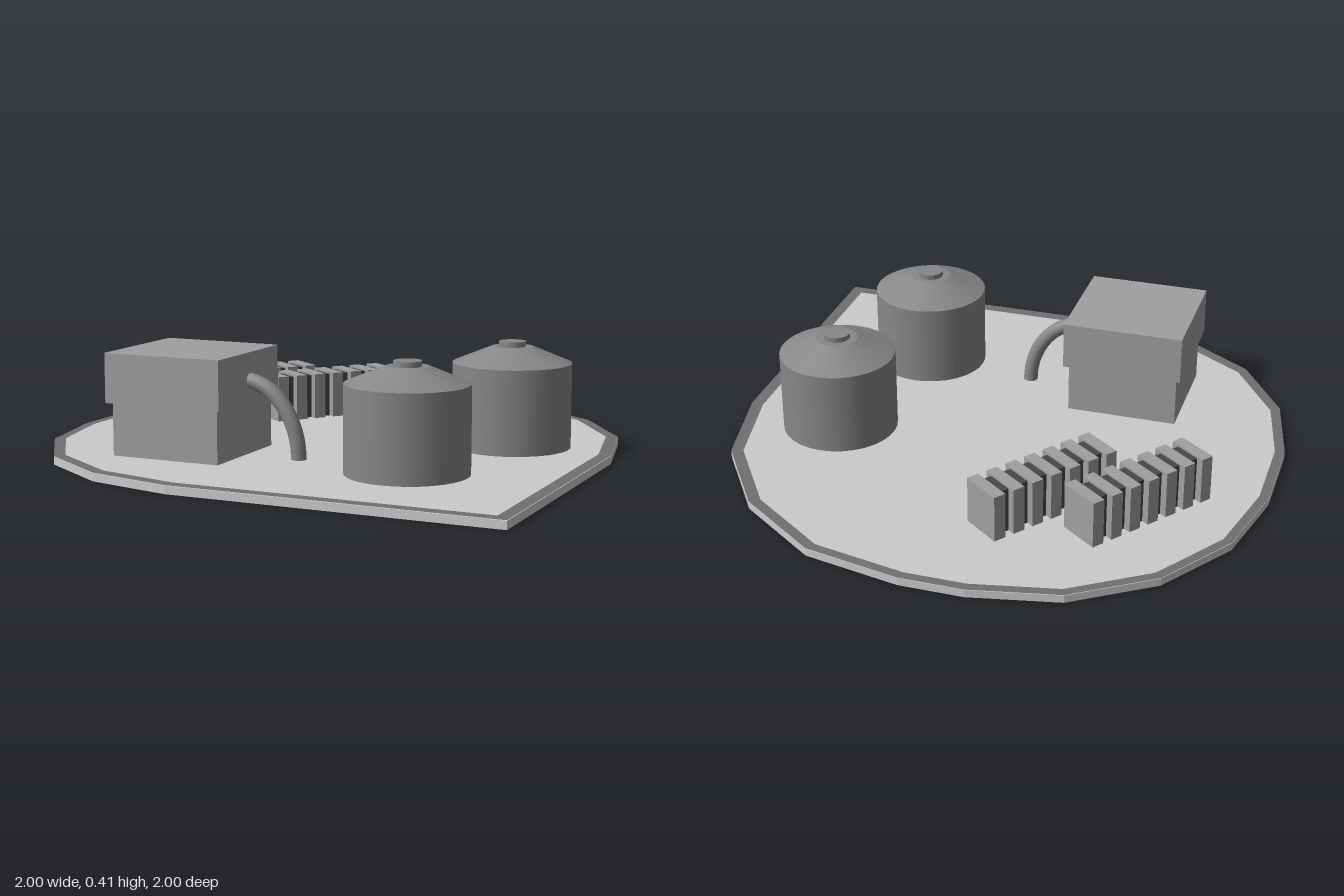
import * as THREE from 'three';

const paint = (color, flatShading = true) =>
  new THREE.MeshStandardMaterial({ color, flatShading });

export function createModel() {
  const model = new THREE.Group();
  const light = paint(0xcccccc);
  const boxGrey = paint(0xa0a0a0);
  const dark = paint(0x707070);
  const core = paint(0x484848);
  const tankGrey = paint(0x888888, false);
  tankGrey.side = THREE.DoubleSide;

  const add = (parent, name, geometry, material, x = 0, y = 0, z = 0) => {
    const mesh = new THREE.Mesh(geometry, material);
    mesh.name = name;
    mesh.position.set(x, y, z);
    parent.add(mesh);
    return mesh;
  };

  // Ground plate: rounded outline with one square corner, listed as (x, z)
  const floorY = 0.03;
  const outline = [
    [1, 1], [1, -0.07], [0.925, -0.42], [0.72, -0.72], [0.42, -0.93], [0.07, -1],
    [-0.16, -1], [-0.475, -0.935], [-0.75, -0.75], [-0.93, -0.48], [-1, -0.165],
    [-1, 0.165], [-0.93, 0.475], [-0.75, 0.75], [-0.475, 0.93], [-0.16, 1],
  ].map(([x, z]) => new THREE.Vector2(x, -z));
  const inner = outline.map((p) => new THREE.Vector2(p.x * 0.96 - 0.006, p.y * 0.96 + 0.006));
  const plate = new THREE.ExtrudeGeometry(new THREE.Shape(outline), {
    depth: floorY - 0.002, bevelEnabled: false,
  }).rotateX(-Math.PI / 2);
  add(model, 'groundPlate', plate, light);

  // Dark border laid along the edge of the plate
  const border = new THREE.Shape(outline);
  border.holes.push(new THREE.Path(inner));
  add(model, 'plateBorder', new THREE.ShapeGeometry(border).rotateX(-Math.PI / 2), dark, 0, floorY, 0);

  // Storage tanks: straight wall, shallow conical roof and a small cap
  [[0.62, -0.11], [0.47, 0.495]].forEach(([x, z], i) => {
    const tank = new THREE.Group();
    tank.name = `storageTank${i + 1}`;
    tank.position.set(x, 0, z);
    const r = 0.212;
    add(tank, 'tankWall', new THREE.CylinderGeometry(r, r, 0.302, 32, 1, true), tankGrey, 0, 0.179, 0);
    add(tank, 'tankRoof', new THREE.CylinderGeometry(0.075, r, 0.057, 32), tankGrey, 0, 0.3585, 0);
    add(tank, 'tankCap', new THREE.CylinderGeometry(0.048, 0.048, 0.025, 24), tankGrey, 0, 0.393, 0);
    model.add(tank);
  });

  // Machine house: two stacked boxes with a bent pipe to the ground
  const house = new THREE.Group();
  house.name = 'machineHouse';
  add(house, 'lowerBox', new THREE.BoxGeometry(0.41, 0.19, 0.4), boxGrey, -0.367, 0.12, 0.445);
  add(house, 'upperBox', new THREE.BoxGeometry(0.445, 0.175, 0.44), boxGrey, -0.367, 0.3025, 0.445);
  const bend = [];
  for (let i = 0; i <= 8; i++) {
    const a = (i / 8) * Math.PI / 2;
    bend.push(new THREE.Vector3(-0.17 + 0.212 * Math.sin(a), 0.025 + 0.268 * Math.cos(a), 0.435));
  }
  add(house, 'pipe', new THREE.TubeGeometry(new THREE.CatmullRomCurve3(bend), 24, 0.027, 16), tankGrey);
  model.add(house);

  // Finned coolers: a dark core carrying seven upright fins
  [[-0.585, -0.388], [-0.262, -0.45]].forEach(([x, z], i) => {
    const cooler = new THREE.Group();
    cooler.name = `finnedCooler${i + 1}`;
    cooler.position.set(x, 0, z);
    cooler.rotation.y = THREE.MathUtils.degToRad(53);
    add(cooler, 'coolerCore', new THREE.BoxGeometry(0.5, 0.165, 0.1), core, 0, 0.1105, 0);
    for (let k = -3; k <= 3; k++) {
      add(cooler, 'coolerFin', new THREE.BoxGeometry(0.045, 0.172, 0.157), boxGrey, k * 0.079, 0.114, 0);
    }
    model.add(cooler);
  });

  return model;
}
